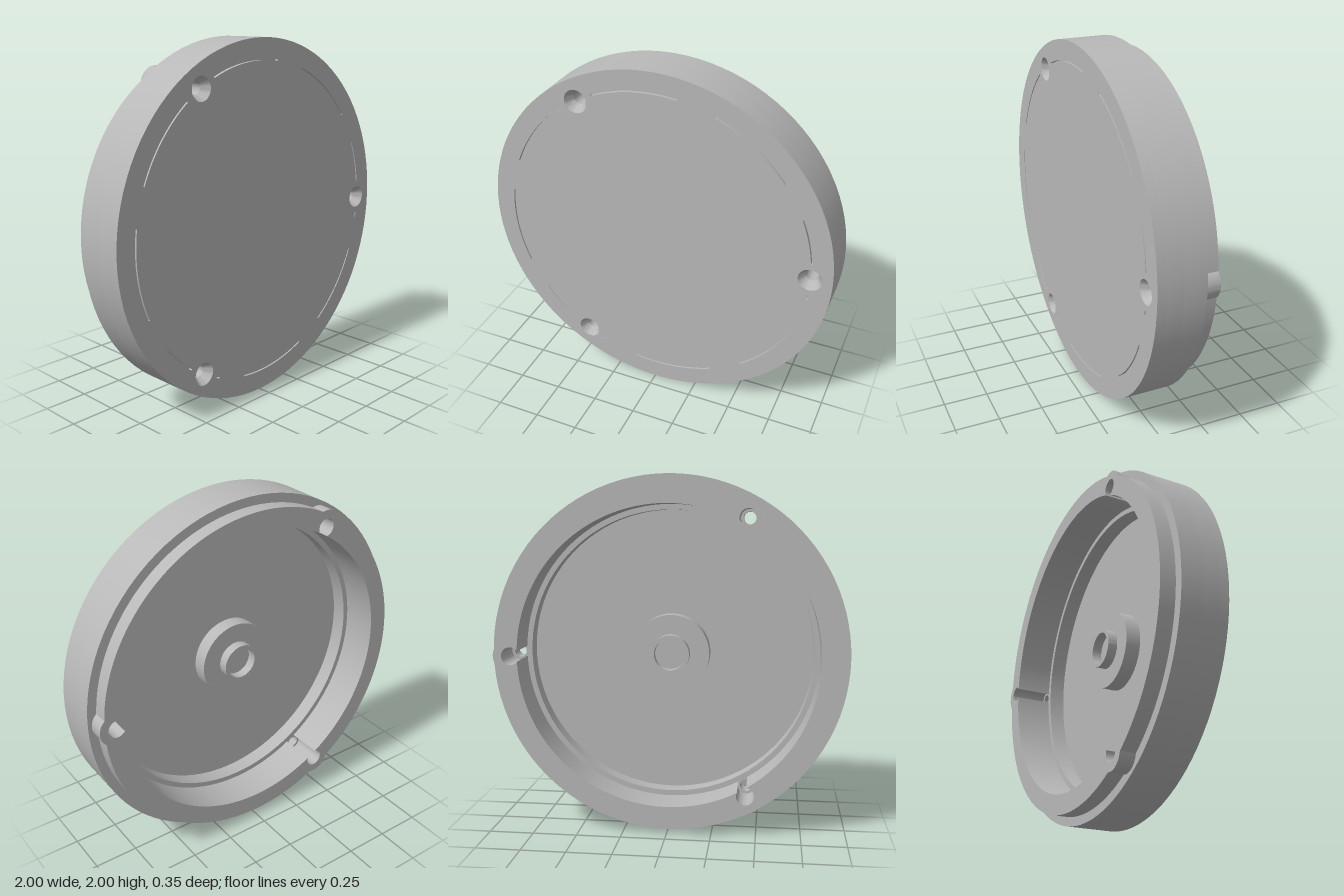
import * as THREE from 'three';
import { toCreasedNormals } from 'three/addons/utils/BufferGeometryUtils.js';

const TAU = Math.PI * 2;
const SCREW_ANGLES = [0, TAU / 3, (2 * TAU) / 3];
const SCREW_DIST = 0.88;
const SEG = 48;

// circle of radius R with three round bulges of radius r at the screw positions
function lobed(path, R, r) {
  const d = SCREW_DIST;
  const x = (R * R - r * r + d * d) / (2 * d);
  const y = Math.sqrt(R * R - x * x);
  const open = Math.atan2(y, x), phi = Math.atan2(y, x - d);
  for (const a of SCREW_ANGLES) {
    path.absarc(d * Math.cos(a), d * Math.sin(a), r, a - phi, a + phi, false);
    path.absarc(0, 0, R, a + open, a + TAU / 3 - open, false);
  }
  path.closePath();
  return path;
}

function circle(path, R, x = 0, y = 0) {
  path.absarc(x, y, R, 0, TAU, false);
  return path;
}

function screwHoles(r) {
  return SCREW_ANGLES.map((a) =>
    circle(new THREE.Path(), r, SCREW_DIST * Math.cos(a), SCREW_DIST * Math.sin(a)));
}

// thin curved slot between two angles in degrees
function arcSlot(from, to) {
  const a = THREE.MathUtils.degToRad(from), b = THREE.MathUtils.degToRad(to);
  const p = new THREE.Path();
  p.absarc(0, 0, 0.889, a, b, false);
  p.absarc(0, 0, 0.881, b, a, true);
  p.closePath();
  return p;
}

export function createModel() {
  const group = new THREE.Group();
  const metal = new THREE.MeshStandardMaterial({ color: 0xb8b8b8 });
  metal.name = 'grey metal';

  function add(name, geometry) {
    const mesh = new THREE.Mesh(toCreasedNormals(geometry, 0.5), metal);
    mesh.name = name;
    mesh.position.y = 1;
    group.add(mesh);
    return mesh;
  }

  // slab of a shape between two depths
  function layer(name, shape, holes, z0, z1) {
    shape.holes.push(...holes);
    const g = new THREE.ExtrudeGeometry(shape, { depth: z1 - z0, bevelEnabled: false, curveSegments: SEG });
    g.translate(0, 0, z0);
    add(name, g);
  }

  // turned part around the z axis, points are [radius, z]
  function turned(name, points, segments) {
    const g = new THREE.LatheGeometry(points.map(([r, z]) => new THREE.Vector2(r, z)), segments);
    g.rotateX(Math.PI / 2);
    return add(name, g);
  }

  const disc = () => circle(new THREE.Shape(), 1);

  // front face with its shallow curved slots
  const slots = [[6.5, 23.4], [36.6, 68.4], [81.6, 113.4], [127, 158.4], [171.6, 203.4],
    [216.6, 233], [246.8, 248.4], [261.6, 293.4], [306.6, 338.4], [351.6, 353.4]];
  layer('frontFace', disc(), [...screwHoles(0.065), ...slots.map(([a, b]) => arcSlot(a, b))], 0.155, 0.175);
  layer('frontPlate', disc(), screwHoles(0.065), 0.125, 0.155);

  // side wall with an inner step
  layer('stepRing', disc(), [circle(new THREE.Path(), 0.81), ...screwHoles(0.035)], 0.035, 0.125);
  layer('sideWall', disc(), [lobed(new THREE.Path(), 0.84, 0.05)], -0.09, 0.035);

  // back rim with screw lugs
  layer('backRim', lobed(new THREE.Shape(), 0.95, 0.098), [lobed(new THREE.Path(), 0.84, 0.05)], -0.175, -0.09);

  // countersinks
  for (const a of SCREW_ANGLES) {
    const sink = turned('countersink', [[0.065, 0.175], [0.035, 0.125]], 48);
    sink.position.x = SCREW_DIST * Math.cos(a);
    sink.position.y = 1 + SCREW_DIST * Math.sin(a);
  }

  // central boss with a raised collar, inside the pocket
  turned('centreBoss', [[0, 0.04], [0.09, 0.04], [0.09, -0.015], [0.11, -0.015],
    [0.11, 0.04], [0.22, 0.04], [0.22, 0.125]], 96);

  return group;
}
